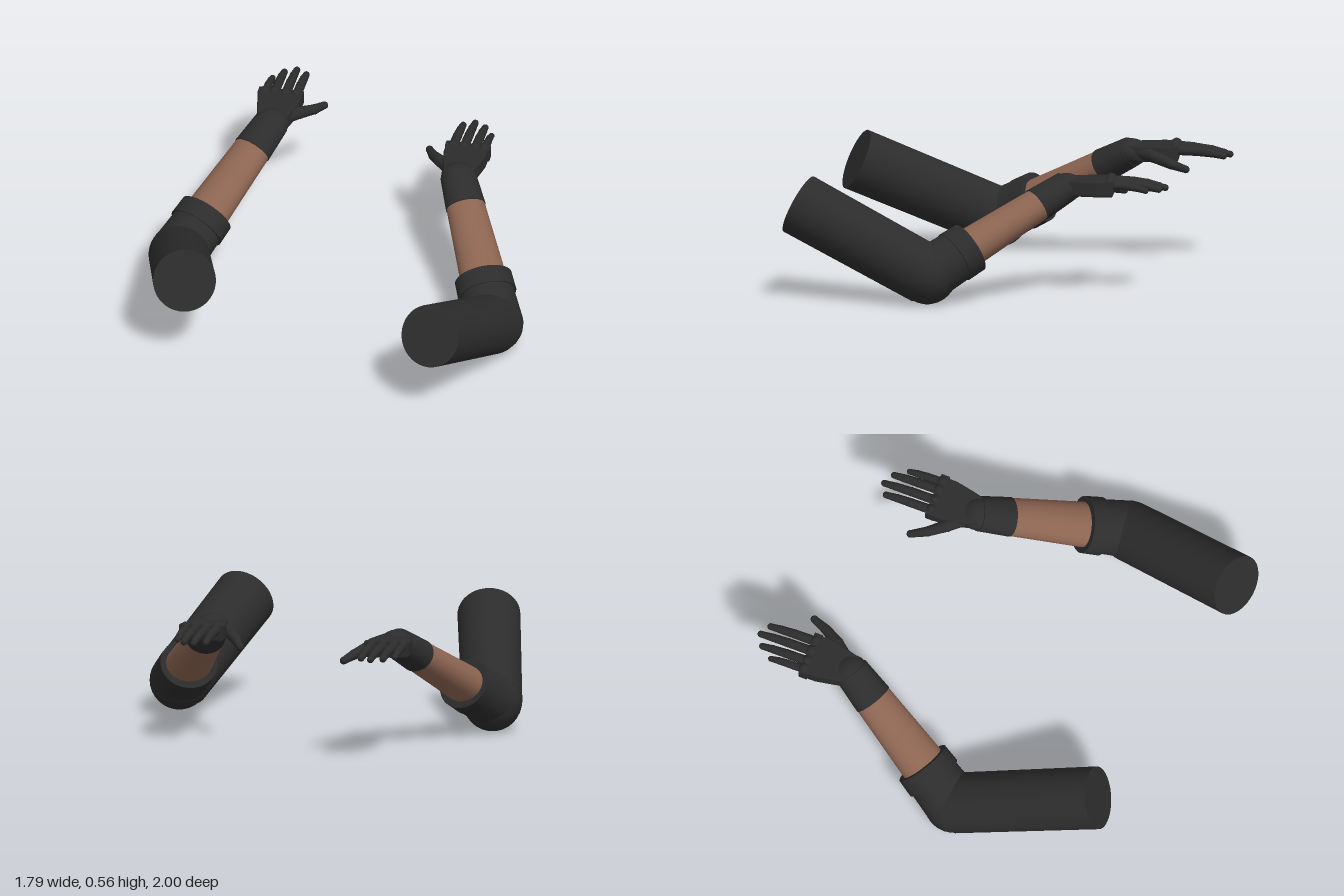
import * as THREE from 'three';

const fabric = new THREE.MeshStandardMaterial({ color: 0x2c2c2c });
fabric.name = 'dark fabric';
const skin = new THREE.MeshStandardMaterial({ color: 0x8c6451 });
skin.name = 'skin';

const V = (x, y, z) => new THREE.Vector3(x, y, z);

function add(parent, name, geometry, material) {
  const mesh = new THREE.Mesh(geometry, material);
  mesh.name = name;
  parent.add(mesh);
  return mesh;
}

// Tapered oval limb from a to b; flat is thickness divided by horizontal width
function limb(parent, name, material, a, b, ra, rb, flat = 1, sides = 40) {
  const dir = b.clone().sub(a);
  const mesh = add(parent, name, new THREE.CylinderGeometry(rb, ra, dir.length(), sides), material);
  dir.normalize();
  const side = V(0, 1, 0).cross(dir).normalize();
  const out = side.clone().cross(dir);
  mesh.quaternion.setFromRotationMatrix(new THREE.Matrix4().makeBasis(side, dir, out));
  mesh.scale.z = flat;
  mesh.position.copy(a).add(b).multiplyScalar(0.5);
  return mesh;
}

function ball(parent, name, p, r, flat = 1) {
  const mesh = add(parent, name, new THREE.SphereGeometry(r, 24, 16), fabric);
  mesh.position.copy(p);
  mesh.scale.y = flat;
  return mesh;
}

// Jointed digit: tapered segments with rounded joints
function digit(parent, name, points, radii) {
  const group = new THREE.Group();
  group.name = name;
  parent.add(group);
  points.forEach((p, i) => {
    ball(group, name + 'Joint', p, radii[i] * 1.03);
    if (i) limb(group, name + 'Segment', fabric, points[i - 1], p, radii[i - 1], radii[i], 1, 14);
  });
}

function makeHand(s) {
  const hand = new THREE.Group();
  hand.name = 'hand';

  // Palm outline, drawn with forward as +y and laid flat
  const outline = new THREE.Shape([
    [-0.06, -0.02], [0.06, -0.02], [0.075, 0.04], [0.092, 0.13], [0.092, 0.2],
    [-0.092, 0.2], [-0.092, 0.13], [-0.075, 0.04],
  ].map(([x, y]) => new THREE.Vector2(x, y)));
  const palm = new THREE.ExtrudeGeometry(outline, {
    depth: 0.045, bevelEnabled: true, bevelSize: 0.006, bevelThickness: 0.014, bevelSegments: 3,
  });
  palm.translate(0, 0, -0.0225).rotateX(-Math.PI / 2);
  add(hand, 'palm', palm, fabric).position.set(s * 0.46, 0.498, -0.29);

  // Knuckle band
  const band = new THREE.BoxGeometry(0.206, 0.06, 0.04);
  add(hand, 'knuckleBand', band, fabric).position.set(s * 0.462, 0.504, -0.478);

  // Fingers: x position and tip z, from the inner side outward
  [[0.392, -0.716], [0.442, -0.744], [0.494, -0.716], [0.536, -0.658]].forEach(([x, tip], i) => {
    const r = i === 3 ? 0.019 : 0.022;
    const zs = [0, 0.45, 0.75, 1].map(t => THREE.MathUtils.lerp(-0.485, tip + 0.015, t));
    const ys = [0.515, 0.51, 0.502, 0.49];
    digit(hand, 'finger', zs.map((z, k) => V(s * x, ys[k], z)), [r, r * 0.95, r * 0.85, r * 0.68]);
    ball(hand, 'knuckle', V(s * x, 0.522, -0.482), 0.025);
  });

  // Thumb, angled inward and down
  digit(hand, 'thumb', [
    V(s * 0.41, 0.498, -0.335), V(s * 0.355, 0.49, -0.39),
    V(s * 0.305, 0.466, -0.465), V(s * 0.272, 0.448, -0.535),
  ], [0.035, 0.028, 0.023, 0.017]);
  return hand;
}

function makeArm(name, s, zShoulder, zArm) {
  const arm = new THREE.Group();
  arm.name = name;
  const shoulder = V(s * 0.593, 0.427, 0.93 + zShoulder - zArm);
  const elbow = V(s * 0.757, 0.136, 0.342);
  const wrist = V(s * 0.46, 0.495, -0.28);
  const foreStart = V(s * 0.765, 0.135, 0.342);
  const at = t => foreStart.clone().lerp(wrist, t);

  // Sleeve with bent elbow
  limb(arm, 'upperSleeve', fabric, shoulder, elbow, 0.143, 0.138);
  ball(arm, 'elbow', V(s * 0.76, 0.136, 0.338), 0.135);
  limb(arm, 'lowerSleeve', fabric, at(0), at(0.27), 0.132, 0.122, 0.94);
  limb(arm, 'sleeveCollar', fabric, at(0.2), at(0.31), 0.135, 0.132, 0.9);

  // Bare forearm and glove cuff
  limb(arm, 'forearm', skin, at(0.25), at(0.82), 0.108, 0.088, 0.82);
  limb(arm, 'gloveCuff', fabric, at(0.79), at(1), 0.092, 0.082, 0.85);
  ball(arm, 'wrist', wrist.clone().add(V(0, -0.002, 0)), 0.078, 0.8);
  arm.add(makeHand(s));
  arm.position.z = zArm;
  return arm;
}

export function createModel() {
  const model = new THREE.Group();
  model.name = 'arms';
  model.add(makeArm('leftArm', 1, 0, 0));
  model.add(makeArm('rightArm', -1, -0.207, -0.253));
  return model;
}
